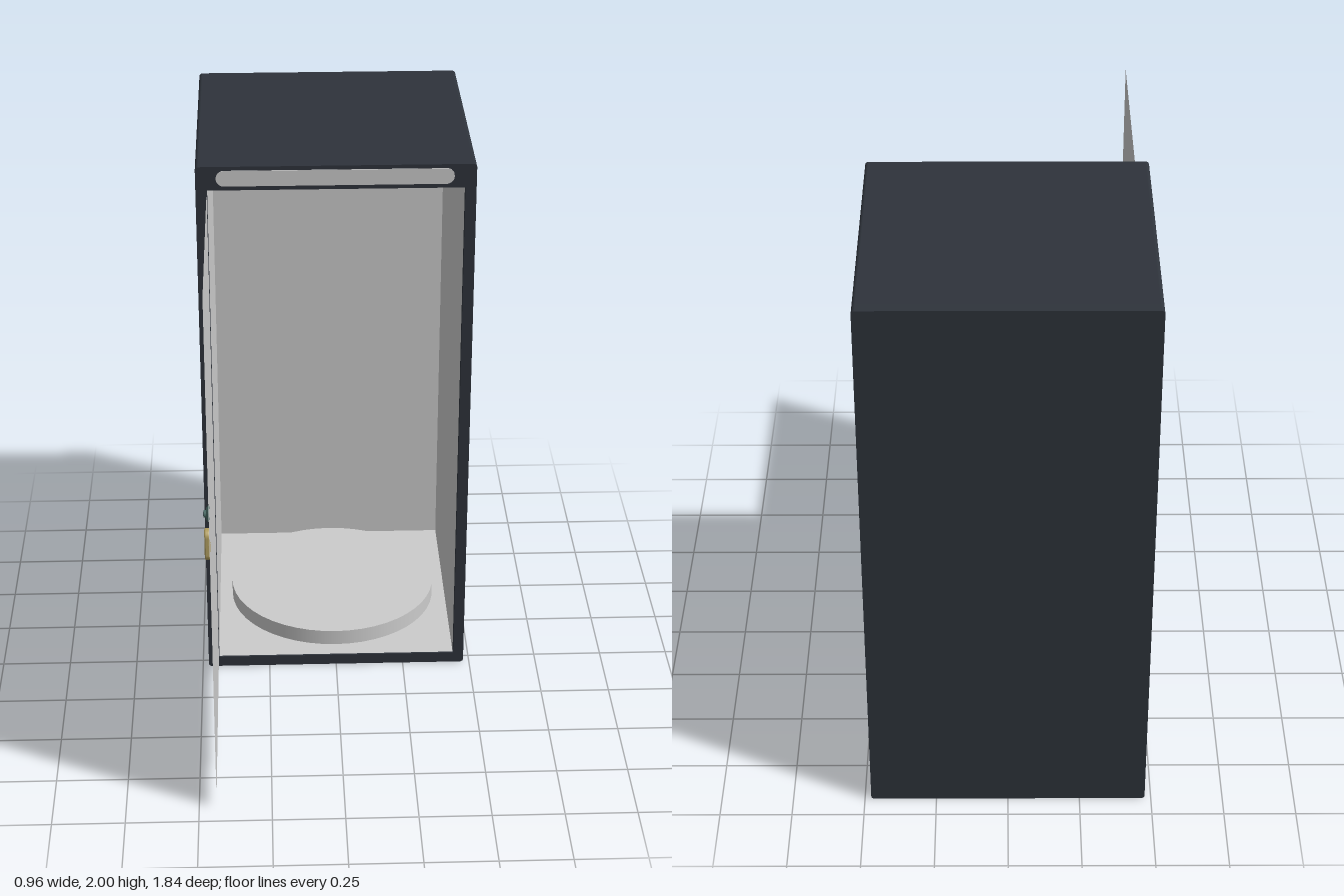
import * as THREE from 'three';

const grey = new THREE.MeshStandardMaterial({ color: 0xcccccc });
const greyDouble = new THREE.MeshStandardMaterial({ color: 0xcccccc, side: THREE.DoubleSide });
const greyInside = new THREE.MeshStandardMaterial({ color: 0xcccccc, side: THREE.BackSide });
const paint = new THREE.MeshStandardMaterial({ color: 0x2e333b });
const brass = new THREE.MeshStandardMaterial({ color: 0xb3a062 });
const steel = new THREE.MeshStandardMaterial({ color: 0x4a6b66 });

const W = 0.956, H = 2, WALL = 0.04, FRONT = 0.04, BACK = -0.92;

// Rounded rectangle centred on the origin
function roundedRect(w, h, r, Type = THREE.Shape) {
  const s = new Type(), x = w / 2 - r, y = h / 2 - r;
  s.absarc(x, y, r, 0, Math.PI / 2);
  s.absarc(-x, y, r, Math.PI / 2, Math.PI);
  s.absarc(-x, -y, r, Math.PI, Math.PI * 1.5);
  s.absarc(x, -y, r, Math.PI * 1.5, Math.PI * 2);
  s.closePath();
  return s;
}

const extrude = (shape, depth, bevel = 0) => new THREE.ExtrudeGeometry(shape, {
  depth, curveSegments: 10, bevelEnabled: bevel > 0,
  bevelSize: bevel, bevelThickness: bevel, bevelOffset: -bevel, bevelSegments: 2,
});

function add(parent, name, geometry, material, x = 0, y = 0, z = 0) {
  const mesh = new THREE.Mesh(geometry, material);
  mesh.name = name;
  mesh.position.set(x, y, z);
  parent.add(mesh);
  return mesh;
}

export function createModel() {
  const model = new THREE.Group();
  model.name = 'cabinet';

  // Opening in the front: sides and floor 0.04 thick, taller header at the top
  const openW = 0.88, openBottom = WALL, openTop = 1.915;
  const openH = openTop - openBottom, openY = (openTop + openBottom) / 2;

  // Painted case: tube with a closed back
  const shell = roundedRect(W, H, 0.012);
  const opening = new THREE.Path([
    [-1, -1], [-1, 1], [1, 1], [1, -1],
  ].map(([x, y]) => new THREE.Vector2(x * openW / 2, openY - H / 2 + y * openH / 2)));
  opening.closePath();
  shell.holes.push(opening);
  add(model, 'case', extrude(shell, FRONT - BACK - WALL), paint, 0, H / 2, BACK + WALL);
  add(model, 'backPanel', extrude(roundedRect(W, H, 0.012), WALL), paint, 0, H / 2, BACK);

  // Grey inner lining: box seen from inside, front face removed
  const depth = FRONT - BACK - WALL - 0.006;
  const lining = new THREE.BoxGeometry(openW - 0.004, openH - 0.004, depth);
  const index = Array.from(lining.index.array);
  index.splice(24, 6);
  lining.setIndex(index);
  lining.clearGroups();
  add(model, 'lining', lining, greyInside, 0, openY, BACK + WALL + 0.002 + depth / 2);

  // Turntable on the floor
  add(model, 'turntable', new THREE.CylinderGeometry(0.39, 0.39, 0.06, 48), grey, 0, 0.07, -0.42);

  // Blank sign plate on the header
  add(model, 'signPlate', extrude(roundedRect(0.81, 0.056, 0.027), 0.003), grey, -0.003, 1.958, FRONT);

  // Sheet door, opened at a right angle; its outer face looks to -x
  const door = new THREE.Group();
  door.name = 'door';
  door.position.set(-0.44, 0, FRONT);
  model.add(door);
  const sheet = new THREE.PlaneGeometry(0.88, openH).rotateY(-Math.PI / 2);
  add(door, 'doorSheet', sheet, greyDouble, 0, openY, 0.44);

  // Pull handle: bevelled ring around a shallow grip
  const ring = roundedRect(0.05, 0.112, 0.024);
  ring.holes.push(roundedRect(0.026, 0.084, 0.0125, THREE.Path));
  const fittings = new THREE.Group();
  fittings.name = 'fittings';
  fittings.rotation.y = -Math.PI / 2;
  fittings.position.set(0, 0, 0.79);
  door.add(fittings);
  add(fittings, 'handleRing', extrude(ring, 0.01, 0.004), brass, 0, 0.992, 0.004);
  add(fittings, 'handleGrip', extrude(roundedRect(0.03, 0.088, 0.0145), 0.006), brass, 0, 0.992, 0);

  // Lock: round flange with a raised key barrel
  const lock = new THREE.LatheGeometry([
    [0, 0], [0.027, 0], [0.027, 0.004], [0.02, 0.01], [0.013, 0.011], [0.012, 0.019], [0, 0.019],
  ].map(([r, h]) => new THREE.Vector2(r, h)), 24).rotateX(Math.PI / 2);
  const lockMaterial = steel.clone();
  lockMaterial.flatShading = true;
  add(fittings, 'lock', lock, lockMaterial, 0, 1.105, 0);
  add(fittings, 'keySlot', new THREE.BoxGeometry(0.004, 0.014, 0.002), paint, 0, 1.105, 0.0195);

  return model;
}
